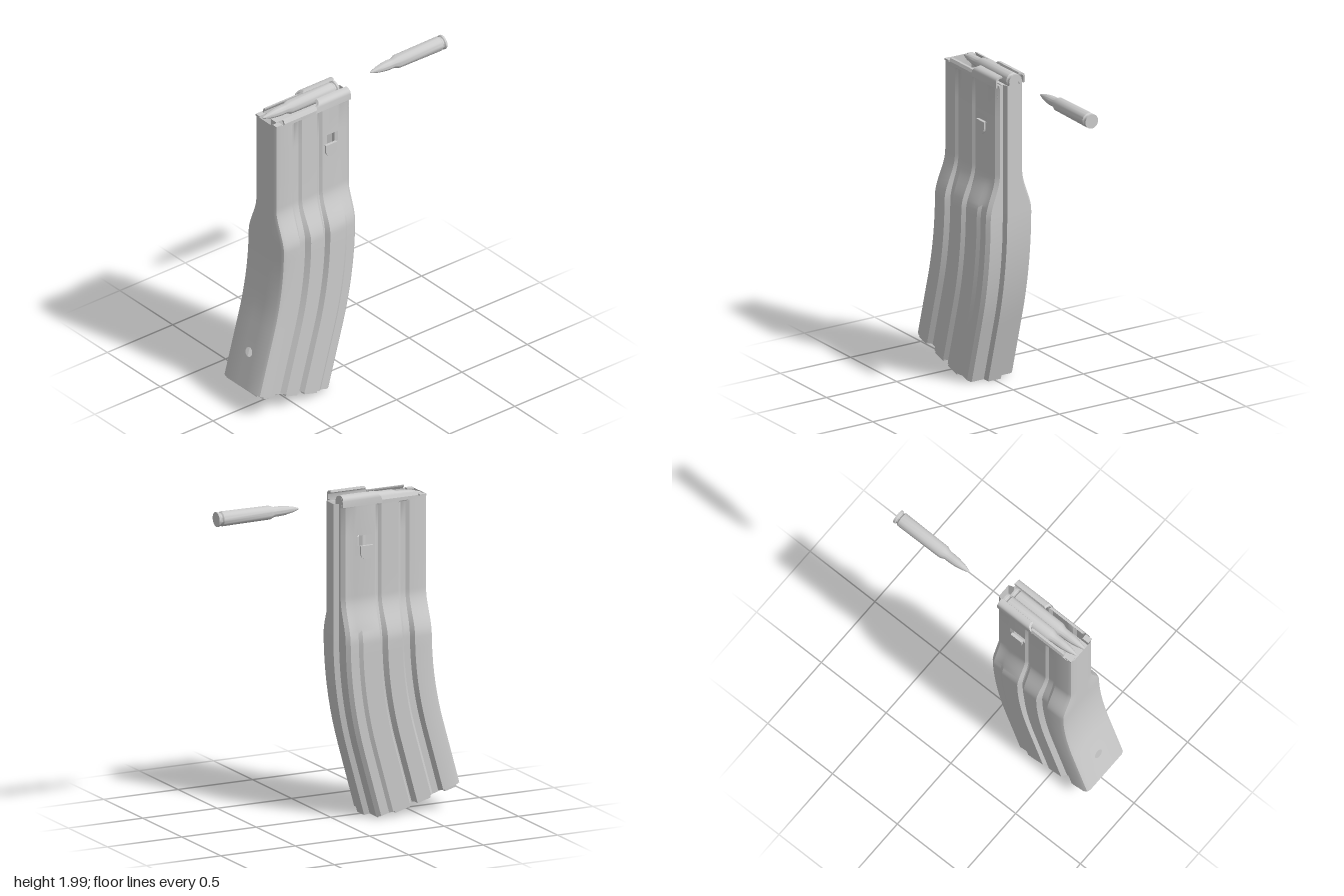
import * as THREE from 'three';
import { toCreasedNormals } from 'three/addons/utils/BufferGeometryUtils.js';

const { smoothstep } = THREE.MathUtils;
const grey = new THREE.MeshStandardMaterial({ color: 0xcccccc });
const thin = new THREE.MeshStandardMaterial({ color: 0xcccccc, side: THREE.DoubleSide });

// Spine: straight above y = BEND, then an arc, then a straight tail
const BEND = 1.12, RADIUS = 2.07, TILT = 0.27, BOTTOM = 0.149;
function onSpine(s, z) {
  if (s >= BEND) return [s, z];
  const a = Math.min((BEND - s) / RADIUS, TILT);
  const tail = BEND - s - RADIUS * a;
  const r = 0.6 + RADIUS - z;
  return [BEND - r * Math.sin(a) - tail * Math.cos(a),
    0.6 + RADIUS - r * Math.cos(a) + tail * Math.sin(a)];
}

// Cross-section as [x, z], from the front middle round the +x side to the back middle
function section(s) {
  const wide = 1 - smoothstep(s, 1.1, 1.37);
  const w = 0.103 + 0.073 * wide;
  const k = (0.012 + 0.016 * wide) * (1 - smoothstep(s, 1.92, 1.942)); // groove depth
  const half = [
    [0, 0.6], [0.04, 0.6], [w - 0.03, 0.6], [w - 0.009, 0.592], [w, 0.57],
    [w, 0.475], [w - k, 0.455], [w - k, 0.425 - 0.4 * k], [w, 0.41 - 0.7 * k],
    [w, 0.285 + 0.3 * k], [w - k, 0.27], [w - k, 0.262], [w, 0.244],
    [w, 0.127], [w - k * 0.5, 0.105], [w - k * 0.5, 0.05], [w - k * 0.5 - 0.02, 0.027],
    [0.056, 0.027], [0.045, -0.005], [0, -0.005]
  ];
  return half.concat(half.slice(1, -1).reverse().map(([x, z]) => [-x, z]));
}

function bodyGeometry() {
  const HOLE = [0.411, 0.331], WINDOW = [1.748, 1.684];
  const rows = [1.945, 1.938, 1.931, 1.92, ...WINDOW, 1.6];
  for (let s = 1.38; s > 1.085; s -= 0.02) rows.push(s);
  for (let s = 1.04; s > 0.5; s -= 0.06) rows.push(s);
  rows.push(...HOLE, BOTTOM);

  const pos = [], index = [];
  const n = section(1).length;
  rows.forEach((s, i) => {
    for (const [x, z] of section(s)) pos.push(x, ...onSpine(s, z));
    if (i === rows.length - 1) return;
    for (let j = 0; j < n; j++) {
      // leave out the side windows and the patch round the front hole
      if (s === WINDOW[0] && (j === 12 || j === n - 13)) continue;
      if (s === HOLE[0] && (j === 0 || j === n - 1)) continue;
      const a = i * n + j, b = i * n + (j + 1) % n;
      index.push(a, a + n, b, b, a + n, b + n);
    }
  });
  const g = new THREE.BufferGeometry();
  g.setAttribute('position', new THREE.Float32BufferAttribute(pos, 3));
  g.setIndex(index);
  return toCreasedNormals(g, 0.5);
}

function points(list) {
  return list.map(([x, y]) => new THREE.Vector2(x, y));
}

// Cartridge pointing along +z with its base at the origin
function cartridgeGeometry() {
  const g = new THREE.LatheGeometry(points([
    [0, 0], [0.045, 0], [0.045, 0.012], [0.038, 0.017], [0.038, 0.025], [0.045, 0.033],
    [0.042, 0.355], [0.03, 0.385], [0.03, 0.425], [0.027, 0.46], [0.018, 0.51],
    [0.006, 0.55], [0, 0.555]
  ]), 28);
  g.rotateX(Math.PI / 2);
  return toCreasedNormals(g, 0.5);
}

export function createModel() {
  const model = new THREE.Group();
  const add = (name, geometry, x = 0, y = 0, z = 0, parent = model, material = grey) => {
    const m = new THREE.Mesh(geometry, material);
    m.name = name;
    m.position.set(x, y, z);
    parent.add(m);
    return m;
  };

  add('body', bodyGeometry(), 0, 0, 0, model, thin);

  // Front wall patch with the round witness hole
  const patch = new THREE.Shape(points([[-0.04, -0.04], [0.04, -0.04], [0.04, 0.04], [-0.04, 0.04]]));
  patch.holes.push(new THREE.Path().absarc(0, 0, 0.03, 0, Math.PI * 2, true));
  add('frontHolePatch', new THREE.ShapeGeometry(patch, 16), 0, ...onSpine(0.371, 0.6), model, thin)
    .rotation.x = -TILT;

  // Tilted floor plate with folded side tabs
  const floor = new THREE.Group();
  floor.name = 'floor';
  floor.position.set(0, ...onSpine(BOTTOM, 0.3));
  floor.rotation.x = -TILT;
  model.add(floor);
  add('floorPlate', new THREE.BoxGeometry(0.29, 0.012, 0.56), 0, -0.002, 0.015, floor);
  for (const side of [-1, 1]) {
    for (const [z, len] of [[0.225, 0.08], [0.04, 0.09], [-0.11, 0.1]]) {
      add('floorTab', new THREE.BoxGeometry(0.035, 0.02, len), side * 0.155, -0.004, z, floor);
    }
  }
  add('floorCatch', new THREE.CylinderGeometry(0.022, 0.022, 0.008, 20), 0, -0.008, -0.1, floor);

  // Curled feed lips at the rear, with lower rails in front of them
  for (const side of [-1, 1]) {
    const rear = new THREE.Shape();
    rear.moveTo(side * 0.104, 1.93);
    rear.lineTo(side * 0.104, 1.968);
    rear.quadraticCurveTo(side * 0.102, 1.998, side * 0.06, 2);
    rear.lineTo(side * 0.056, 1.988);
    rear.quadraticCurveTo(side * 0.092, 1.986, side * 0.093, 1.965);
    rear.lineTo(side * 0.093, 1.93);
    const rearLip = new THREE.ExtrudeGeometry(rear, { depth: 0.25, bevelEnabled: false, curveSegments: 8 });
    // slope the front end of the lip
    const p = rearLip.attributes.position;
    for (let i = 0; i < p.count; i++) {
      if (p.getZ(i) > 0.1) p.setZ(i, 0.265 - Math.max(0, p.getY(i) - 1.96) * 0.9);
    }
    add('feedLip', toCreasedNormals(rearLip, 0.6), 0, 0, 0.03);

    const front = new THREE.Shape(points([
      [0.103, 1.93], [0.103, 1.95], [0.094, 1.968], [0.08, 1.97], [0.082, 1.962], [0.093, 1.945], [0.093, 1.93]
    ].map(([x, y]) => [side * x, y])));
    add('frontRail', new THREE.ExtrudeGeometry(front, { depth: 0.25, bevelEnabled: false }), 0, 0, 0.285);
    add('frontCornerLip', new THREE.BoxGeometry(0.035, 0.012, 0.045), side * 0.08, 1.944, 0.572);

    // Rounded catch tongue under the window
    const tongue = new THREE.Shape();
    tongue.moveTo(0.042, 1.684);
    tongue.lineTo(-0.042, 1.684);
    tongue.lineTo(-0.042, 1.642);
    tongue.absarc(0, 1.642, 0.042, Math.PI, Math.PI * 2, false);
    const tongueGeometry = new THREE.ExtrudeGeometry(tongue, { depth: 0.018, bevelEnabled: false });
    tongueGeometry.rotateY(Math.PI / 2);
    add('catchTongue', toCreasedNormals(tongueGeometry, 0.5), side > 0 ? 0.097 : -0.115, 0, 0.185);
  }

  // Follower with a raised ridge under the top cartridge
  add('follower', new THREE.BoxGeometry(0.18, 0.04, 0.5), 0, 1.79, 0.32);
  add('followerRidge', new THREE.BoxGeometry(0.05, 0.08, 0.4), -0.045, 1.85, 0.3);

  // Two loaded cartridges and one loose one
  const round = cartridgeGeometry();
  add('topCartridge', round, -0.04, 1.945, 0.035);
  add('lowerCartridge', round, 0.042, 1.872, 0.035);
  add('looseCartridge', round, -0.04, 1.945, -0.79);

  return model;
}
